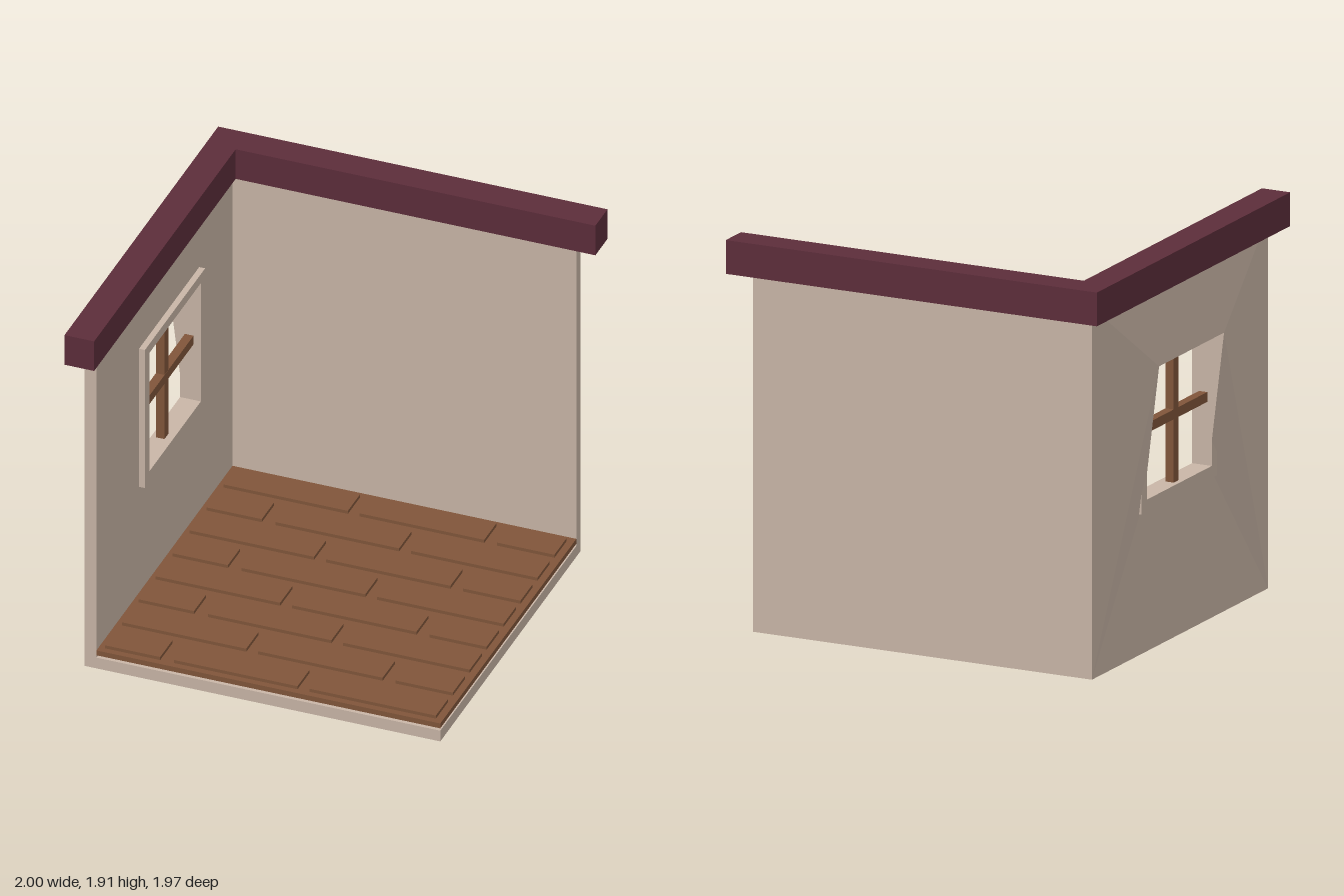
import * as THREE from 'three';

export function createModel() {
  const model = new THREE.Group();
  model.name = 'cornerRoom';

  const material = (name, color) => {
    const m = new THREE.MeshStandardMaterial({ color });
    m.name = name;
    return m;
  };
  const plaster = material('plaster', 0xc8b5a6);
  const wood = material('wood', 0x80553a);
  const trim = material('trim', 0x5c2d3a);

  // Box given by its extents along each axis
  const box = (name, mat, [x0, x1], [y0, y1], [z0, z1], parent = model) => {
    const mesh = new THREE.Mesh(new THREE.BoxGeometry(x1 - x0, y1 - y0, z1 - z0), mat);
    mesh.position.set((x0 + x1) / 2, (y0 + y1) / 2, (z0 + z1) / 2);
    mesh.name = name;
    parent.add(mesh);
  };
  const group = (name) => {
    const g = new THREE.Group();
    g.name = name;
    model.add(g);
    return g;
  };

  // Base slab and back wall
  box('baseSlab', plaster, [-0.86, 0.88], [0, 0.06], [-0.89, 0.85]);
  box('backWall', plaster, [-0.86, 0.88], [0, 1.82], [-0.94, -0.89]);

  // Window wall: a ring around the opening, whose outer head bulges outward
  const positions = [];
  const quad = (a, b, c, d) => positions.push(...a, ...b, ...c, ...a, ...c, ...d);
  const rectangle = (z0, z1, y0, y1) => [[z0, y0], [z1, y0], [z1, y1], [z0, y1]];
  const edge = rectangle(-0.94, 0.85, 0, 1.82);
  const hole = rectangle(-0.41, 0.25, 0.75, 1.41);
  const at = (points, x) => points.map(([z, y]) => [x, y, z]);
  const edgeOut = at(edge, -0.92), edgeIn = at(edge, -0.86);
  const holeOut = at(hole, -0.92), holeIn = at(hole, -0.86);
  holeOut[2][0] = holeOut[3][0] = -1;
  for (let i = 0; i < 4; i++) {
    const j = (i + 1) % 4;
    // Both side panels fold from the bottom corner to the bulging head
    if (i === 3) quad(edgeOut[j], holeOut[j], holeOut[i], edgeOut[i]);
    else quad(edgeOut[i], edgeOut[j], holeOut[j], holeOut[i]);
    quad(edgeIn[j], edgeIn[i], holeIn[i], holeIn[j]);
    quad(edgeOut[i], edgeIn[i], edgeIn[j], edgeOut[j]);
    quad(holeOut[j], holeIn[j], holeIn[i], holeOut[i]);
  }
  const wallGeometry = new THREE.BufferGeometry();
  wallGeometry.setAttribute('position', new THREE.Float32BufferAttribute(positions, 3));
  wallGeometry.computeVertexNormals();
  const windowWall = new THREE.Mesh(wallGeometry, plaster);
  windowWall.name = 'windowWall';
  model.add(windowWall);

  // Window frame and crossed glazing bars
  const windowGroup = group('window');
  const depth = [-0.935, -0.83];
  for (const y of [[0.69, 0.75], [1.41, 1.46]]) box('frameRail', plaster, depth, y, [-0.465, 0.305], windowGroup);
  for (const z of [[-0.465, -0.41], [0.25, 0.305]]) box('frameStile', plaster, depth, [0.75, 1.41], z, windowGroup);
  box('verticalBar', wood, [-0.91, -0.868], [0.75, 1.41], [-0.09, -0.04], windowGroup);
  box('horizontalBar', wood, [-0.911, -0.867], [1.06, 1.108], [-0.41, 0.25], windowGroup);

  // Floor board with raised planks in staggered rows
  const floor = group('floor');
  box('floorBoard', wood, [-0.86, 0.88], [0.073, 0.1], [-0.89, 0.85], floor);
  const rowA = [[-0.83, -0.55], [-0.48, 0.145], [0.205, 0.845]];
  const rowB = [[-0.83, -0.2], [-0.14, 0.49], [0.555, 0.845]];
  for (let row = 0; row < 8; row++) {
    const z = 0.74 - row * 0.2165;
    for (const x of row % 2 ? rowB : rowA) box('plank', wood, x, [0.1, 0.117], [z - 0.078, z + 0.078], floor);
  }

  // Trim along the wall tops
  const cap = group('wallTrim');
  box('sideTrim', trim, [-0.97, -0.82], [1.745, 1.91], [-0.985, 0.98], cap);
  box('backTrim', trim, [-0.82, 1], [1.745, 1.91], [-0.985, -0.83], cap);

  return model;
}
